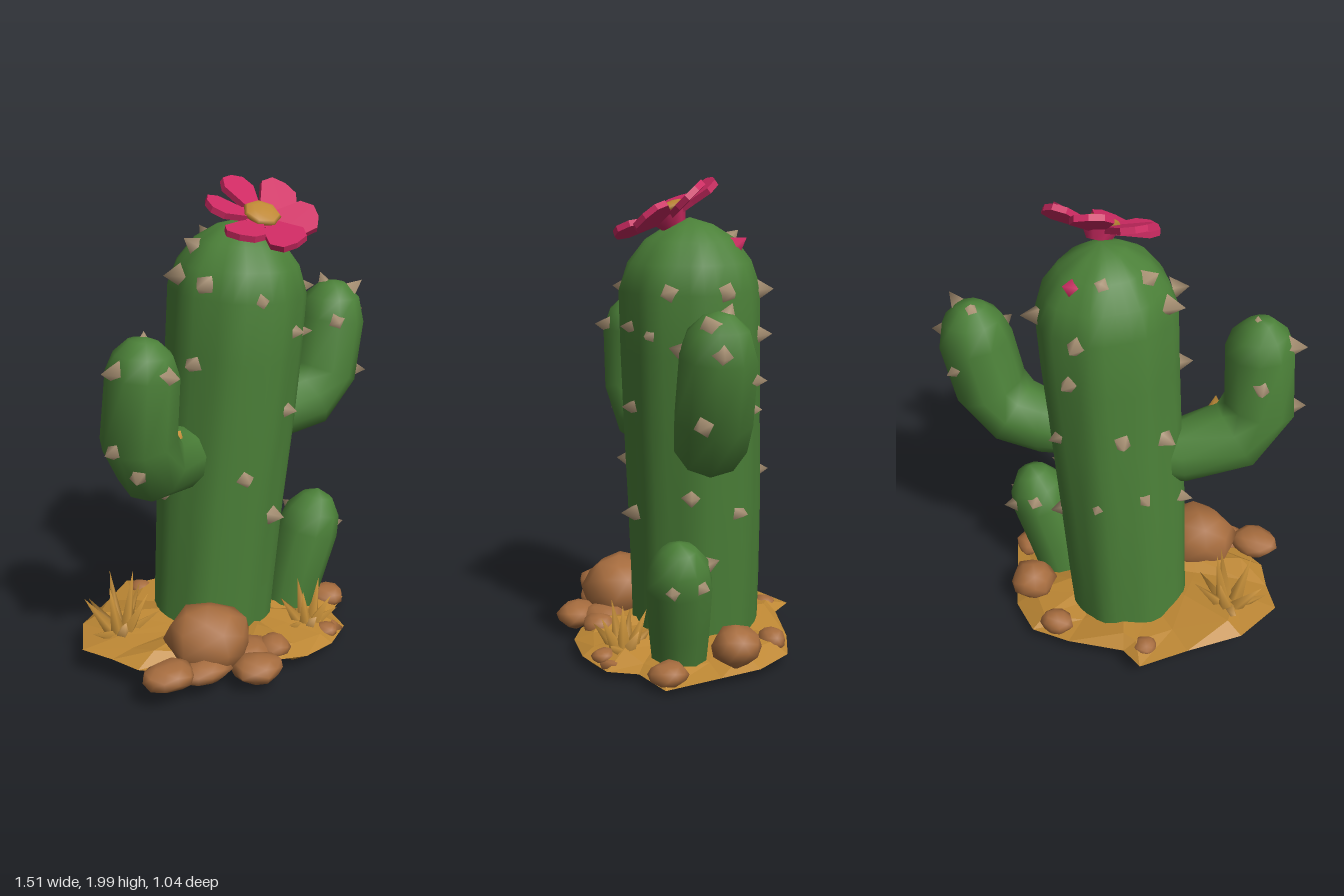
import * as THREE from 'three';
import { mergeVertices } from 'three/addons/utils/BufferGeometryUtils.js';

const mat = (name, color) => {
  const m = new THREE.MeshStandardMaterial({ color });
  m.name = name;
  return m;
};
const V = (x, y, z) => new THREE.Vector3(x, y, z);

// Share the vertices of a geometry so that it shades smoothly
function smooth(geo) {
  geo.deleteAttribute('uv');
  geo.deleteAttribute('normal');
  const g = mergeVertices(geo, 1e-4);
  g.computeVertexNormals();
  return g;
}

export function createModel() {
  const green = mat('cactus green', 0x4b8038);
  const pink = mat('petal pink', 0xcd2a62);
  const sand = mat('dry sand', 0xbd8734);
  const straw = mat('dry grass', 0xc48e39);
  const brown = mat('rock brown', 0xa66c3e);
  const thorn = mat('thorn tan', 0xad9577);
  const model = new THREE.Group();

  const add = (name, geo, material, parent = model) => {
    const m = new THREE.Mesh(geo, material);
    m.name = name;
    parent.add(m);
    return m;
  };

  // Skin closed rings of points, listed from the bottom up
  function skin(rows, flat = false) {
    const n = rows[0].length, index = [];
    for (let i = 0; i < rows.length - 1; i++) {
      for (let j = 0; j < n; j++) {
        const a = i * n + j, b = i * n + (j + 1) % n;
        index.push(a, a + n, b, b, a + n, b + n);
      }
    }
    const g = new THREE.BufferGeometry().setFromPoints(rows.flat());
    g.setIndex(index);
    if (!flat) return smooth(g);
    const f = g.toNonIndexed();
    f.computeVertexNormals();
    return f;
  }

  // Sweep a section along [x, y, z, radius] stations, with optional twisting ribs and extra depth
  function stem(path, sides, ribs = 0, ribDepth = 0, deep = 1) {
    const c = path.map(p => V(p[0], p[1], p[2]));
    return skin(path.map((p, i) => {
      const t = c[Math.min(i + 1, c.length - 1)].clone().sub(c[Math.max(i - 1, 0)]).normalize();
      const u = t.clone().cross(V(0, 0, 1)).normalize(), v = u.clone().cross(t);
      return Array.from({ length: sides }, (_, j) => {
        const a = j / sides * Math.PI * 2;
        const r = p[3] * (1 + ribDepth * Math.cos(ribs * a + p[1] * 1.2));
        return c[i].clone().addScaledVector(u, r * Math.cos(a)).addScaledVector(v, deep * r * Math.sin(a));
      });
    }));
  }

  // Cactus body and branches
  add('trunk', stem([
    [-0.08, 0.05, -0.095, 0.255], [-0.06, 0.3, -0.095, 0.26], [-0.035, 0.65, -0.09, 0.268],
    [0, 1, -0.08, 0.272], [0.025, 1.3, -0.075, 0.276], [0.04, 1.55, -0.07, 0.277],
    [0.045, 1.66, -0.07, 0.242], [0.05, 1.75, -0.07, 0.175], [0.055, 1.805, -0.07, 0.09], [0.06, 1.835, -0.07, 0],
  ], 32, 8, 0.025, 1.04), green);
  add('rightArm', stem([
    [-0.1, 0.87, -0.08, 0.1], [-0.26, 0.885, -0.01, 0.132], [-0.46, 0.945, 0.12, 0.155], [-0.535, 1.08, 0.175, 0.152],
    [-0.515, 1.34, 0.185, 0.145], [-0.51, 1.42, 0.185, 0.115], [-0.505, 1.47, 0.185, 0.06], [-0.5, 1.485, 0.185, 0],
  ], 10), green);
  add('leftArm', stem([
    [0.1, 0.96, -0.13, 0.1], [0.28, 0.965, -0.14, 0.132], [0.43, 0.99, -0.15, 0.148], [0.53, 1.1, -0.16, 0.154],
    [0.575, 1.33, -0.175, 0.152], [0.585, 1.43, -0.175, 0.12], [0.585, 1.485, -0.175, 0.06], [0.585, 1.5, -0.175, 0],
  ], 10), green);
  add('youngShoot', stem([
    [0.29, 0.05, -0.03, 0.115], [0.325, 0.2, -0.03, 0.128], [0.385, 0.4, -0.03, 0.138],
    [0.415, 0.49, -0.03, 0.12], [0.435, 0.555, -0.03, 0.07], [0.44, 0.585, -0.03, 0],
  ], 10), green);

  // Thorns: a short four-sided cone pointing away from the stem axis
  const coneGeo = smooth(new THREE.ConeGeometry(0.048, 0.075, 4, 1, true));
  function spine(x, y, z, dx, dy, dz, r, material = thorn) {
    const d = V(dx, dy, dz).normalize();
    const m = add('thorn', coneGeo, material);
    m.position.set(x, y, z).addScaledVector(d, r + 0.022);
    m.quaternion.setFromUnitVectors(V(0, 1, 0), d);
  }
  // Trunk thorns as [angle from +x towards +z, height]
  for (const [deg, y] of [
    [98, 1.54], [147, 1.6], [153, 1.28], [60, 1.39], [60, 1.06], [100, 0.8], [65, 0.6], [0, 0.7], [180, 0.69],
    [20, 1.53], [35, 1.36], [180, 1.62], [270, 1.53], [280, 1.35], [265, 0.76], [300, 1.05], [240, 1.1],
    [225, 0.8], [330, 1.53], [315, 0.62], [200, 1.05],
  ]) {
    const a = deg * Math.PI / 180;
    spine(-0.08 + 0.077 * y, y, -0.08, Math.cos(a), 0.05, Math.sin(a), 0.262 + 0.008 * y);
  }
  for (const s of [
    [0.045, 1.6, -0.07, -0.8, 0.6, -0.1, 0.23], [0.045, 1.6, -0.07, -0.25, 0.65, -0.7, 0.22],
    // right arm
    [-0.515, 1.36, 0.185, -1, 0.1, 0.2, 0.13], [-0.515, 1.34, 0.185, 0.4, 0.1, 1, 0.13],
    [-0.51, 1.4, 0.185, 0.1, 1, -0.1, 0.045], [-0.53, 1.07, 0.175, -0.9, 0, 0.4, 0.14],
    [-0.5, 1, 0.14, -0.6, -0.3, 0.9, 0.14], [-0.52, 1.25, 0.18, -0.4, 0, -1, 0.135],
    // left arm
    [0.58, 1.36, -0.175, 1, -0.1, -0.1, 0.13], [0.58, 1.38, -0.175, 0.8, 0.7, 0.3, 0.12],
    [0.58, 1.4, -0.175, -0.2, 1, -0.4, 0.08], [0.575, 1.32, -0.17, -0.4, 0.2, 1, 0.137],
    [0.54, 1.1, -0.16, 1, -0.1, 0.3, 0.14], [0.56, 1.25, -0.165, 0.3, 0, -1, 0.137],
    // young shoot
    [0.38, 0.39, -0.03, 1, 0.1, 0.15, 0.125], [0.38, 0.4, -0.03, 0.8, 0.1, -0.7, 0.125], [0.4, 0.44, -0.03, -0.3, 0.3, -1, 0.115],
  ]) spine(...s);
  spine(0.045, 1.6, -0.07, 0.25, 0.55, -0.8, 0.225, pink);
  spine(-0.38, 0.92, 0.07, 0.15, 0.8, 0.5, 0.128, straw);

  // Flower: six thick, raised and slightly twisted petals around a domed centre
  const flower = new THREE.Group();
  flower.name = 'flower';
  flower.position.set(0.1, 1.825, 0.005);
  flower.rotation.x = 0.49;
  model.add(flower);
  const side = [[0.025, 0.03], [0.052, 0.1], [0.084, 0.175], [0.058, 0.225]];
  const petalShape = new THREE.Shape(
    [...side, [0, 0.238], ...side.map(([x, y]) => [-x, y]).reverse()].map(p => new THREE.Vector2(...p)));
  const petalGeo = new THREE.ExtrudeGeometry(petalShape, { depth: 0.025, bevelEnabled: false })
    .rotateX(-Math.PI / 2).rotateZ(-0.22).rotateX(0.2);
  for (let i = 0; i < 6; i++) add('petal', petalGeo, pink, flower).rotation.y = i * Math.PI / 3 + 0.17;
  const heart = add('flowerCentre', new THREE.SphereGeometry(1, 7, 6), sand, flower);
  heart.scale.set(0.08, 0.025, 0.08);
  heart.position.y = 0.045;
  const cup = add('flowerBase', new THREE.CylinderGeometry(0.085, 0.05, 0.06, 8), pink, flower);
  cup.position.y = 0.005;

  // Sloping, ragged mound of sand
  const outline = [
    [0.56, 0.02], [0.42, 0.13], [0.4, 0.26], [0.26, 0.37], [0.1, 0.42], [-0.02, 0.4], [-0.12, 0.32], [-0.4, 0.36],
    [-0.6, 0.24], [-0.66, 0.12], [-0.74, 0], [-0.65, -0.21], [-0.46, -0.37], [-0.3, -0.52], [-0.2, -0.46],
    [0.05, -0.49], [0.23, -0.48], [0.37, -0.36], [0.45, -0.2],
  ];
  const ring = (s, h, wobble) => outline.map(([x, z], i) => {
    const k = s * (1 + wobble * Math.sin(i * 2.4));
    return V(x * k, Math.max(0, 0.065 - 0.075 * x * k + h + wobble * 0.2 * Math.sin(i * 4.1)), z * k);
  });
  add('sandMound', skin([ring(0, -0.03, 0), ring(0.82, -0.045, 0.1), ring(1, 0, 0), ring(0.82, 0.034, 0.09),
    ring(0.5, 0.045, 0.08), ring(0, 0.05, 0)], true), sand);

  // Lumpy rocks as [x, y, z, size x, size y, size z], the last three under the mound
  [
    [-0.28, 0.17, 0.25, 0.18, 0.15, 0.16], [-0.52, 0.125, 0.36, 0.11, 0.055, 0.09], [-0.36, 0.1, 0.36, 0.12, 0.05, 0.08],
    [-0.15, 0.085, 0.43, 0.11, 0.055, 0.09], [-0.14, 0.09, 0.3, 0.12, 0.05, 0.1], [-0.01, 0.085, 0.32, 0.075, 0.05, 0.075],
    [0.33, 0.12, -0.26, 0.1, 0.085, 0.1], [0.47, 0.055, 0.01, 0.08, 0.05, 0.08], [0.14, 0.08, -0.42, 0.075, 0.05, 0.06],
    [-0.28, 0.1, -0.41, 0.05, 0.03, 0.05], [0.29, 0.06, 0.28, 0.05, 0.03, 0.05],
    [-0.02, 0.045, -0.04, 0.29, 0.046, 0.25], [0.2, 0.04, 0.2, 0.2, 0.036, 0.14], [-0.33, 0.075, 0.19, 0.25, 0.055, 0.14],
  ].forEach(([x, y, z, sx, sy, sz], k) => {
    const g = smooth(new THREE.IcosahedronGeometry(1, 1));
    const p = g.attributes.position;
    for (let i = 0; i < p.count; i++) {
      const s = 1 + 0.08 * Math.sin(i * 3.7 + k * 1.9);
      p.setXYZ(i, p.getX(i) * s * sx, p.getY(i) * s * sy, p.getZ(i) * s * sz);
    }
    g.computeVertexNormals();
    add('rock', g, brown).position.set(x, Math.max(y, sy * 1.08), z);
  });

  // Tufts of dry grass
  function tuft(x, y, z, height, lean) {
    for (let i = 0; i < 10; i++) {
      const a = i * 2.4, tilt = 0.15 + lean * (i / 9);
      const h = height * (1 - 0.45 * i / 9);
      const g = smooth(new THREE.ConeGeometry(0.034, h, 4, 1, true).translate(0, h / 2, 0));
      const blade = add('grassBlade', g, straw);
      blade.position.set(x + 0.025 * Math.cos(a), y, z + 0.025 * Math.sin(a));
      blade.quaternion.setFromUnitVectors(V(0, 1, 0),
        V(Math.sin(tilt) * Math.cos(a), Math.cos(tilt), Math.sin(tilt) * Math.sin(a)));
    }
  }
  tuft(-0.54, 0.11, -0.06, 0.29, 0.95);
  tuft(0.24, 0.06, 0.2, 0.22, 0.95);
  return model;
}
